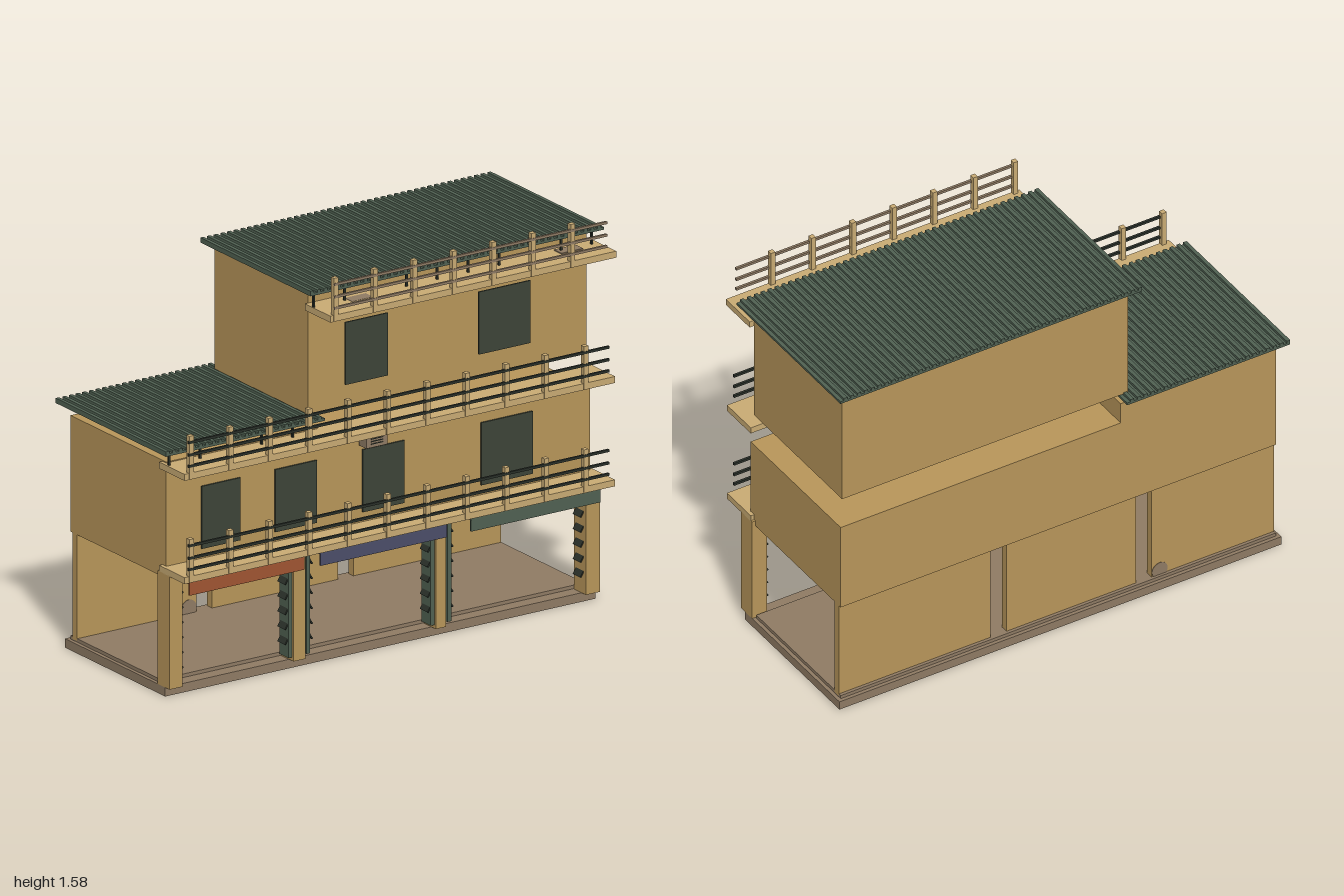
import * as THREE from 'three';

const mat = (name, color, side = THREE.FrontSide) => {
  const m = new THREE.MeshStandardMaterial({ color, side });
  m.name = name;
  return m;
};

export function createModel() {
  const tan = mat('tan plaster', 0xb8965a);
  const sand = mat('light wood', 0xc9ab74);
  const stone = mat('grey brown stone', 0x8f7b64);
  const green = mat('roof green', 0x506152, THREE.DoubleSide);
  const glass = mat('dark glass', 0x3d4438);
  const iron = mat('dark iron', 0x2a3029);
  const red = mat('awning red', 0xa05532, THREE.DoubleSide);
  const blue = mat('awning blue', 0x4b4e69, THREE.DoubleSide);

  const model = new THREE.Group();
  model.name = 'shopHouse';
  const group = (name) => {
    const g = new THREE.Group();
    g.name = name;
    model.add(g);
    return g;
  };
  // box given by its limits on each axis
  const box = (parent, name, m, x0, x1, y0, y1, z0, z1) => {
    const mesh = new THREE.Mesh(new THREE.BoxGeometry(x1 - x0, y1 - y0, z1 - z0), m);
    mesh.position.set((x0 + x1) / 2, (y0 + y1) / 2, (z0 + z1) / 2);
    mesh.name = name;
    parent.add(mesh);
    return mesh;
  };

  // base
  const base = group('base');
  box(base, 'slab', stone, -0.99, 0.975, 0, 0.036, -0.38, 0.29);
  box(base, 'floor', stone, -0.975, 0.96, 0.036, 0.05, -0.365, 0.235);

  // open ground floor: front piers and back wall panels
  const ground = group('groundFloor');
  for (const [a, b] of [[-0.99, -0.932], [-0.425, -0.37], [0.225, 0.272], [0.91, 0.975]])
    box(ground, 'pier', tan, a, b, 0.036, 0.49, 0.24, 0.32);
  for (const [a, b] of [[-0.975, -0.43], [-0.36, 0.215], [0.285, 0.96]])
    box(ground, 'backPanel', tan, a, b, 0.04, 0.47, -0.352, -0.32);
  const stain = new THREE.Mesh(new THREE.CylinderGeometry(0.035, 0.035, 0.036, 16), stone);
  stain.rotation.x = Math.PI / 2;
  stain.position.set(-0.466, 0.07, -0.336);
  stain.name = 'wallPatch';
  ground.add(stain);

  // folded shutters beside the piers
  const shutters = group('shutters');
  for (const [a, b] of [[-0.441, -0.425], [-0.358, -0.342], [0.208, 0.225], [0.285, 0.302]])
    box(shutters, 'shutterStrip', green, a, b, 0.05, 0.48, 0.25, 0.31);
  [-0.925, -0.445, -0.335, 0.206, 0.306, 0.903].forEach((x, i) => {
    for (let k = 0; k < 6; k++) {
      const y = 0.115 + k * 0.06;
      const slat = box(shutters, 'slat', iron, x - 0.014, x + 0.014, y - 0.003, y + 0.003, 0.255, 0.305);
      slat.rotation.z = i % 2 ? 1 : -1;
    }
  });

  // awnings: sloped sheet with a hanging front lip
  const awnings = group('awnings');
  for (const [a, b, m] of [[-0.96, -0.437, red], [-0.362, 0.215, blue], [0.325, 0.915, green]]) {
    const sheet = box(awnings, 'awningSheet', m, a, b, 0.474, 0.48, 0.3, 0.41);
    sheet.rotation.x = -0.05;
    box(awnings, 'awningLip', m, a, b, 0.432, 0.484, 0.402, 0.41);
  }

  // storeys
  const storeys = group('storeys');
  box(storeys, 'middleStorey', tan, -0.975, 0.96, 0.465, 0.84, -0.365, 0.275);
  box(storeys, 'middleStoreyRaised', tan, -0.975, -0.285, 0.84, 0.93, -0.365, 0.275);
  box(storeys, 'topStorey', tan, -0.31, 0.96, 0.98, 1.465, -0.375, 0.25);

  // windows
  const windows = group('windows');
  const panes = [
    [-0.82, -0.645, 0.555], [-0.485, -0.295, 0.555], [-0.085, 0.105, 0.555],
    [0.455, 0.69, 0.555], [-0.165, 0.03, 1.08], [0.445, 0.68, 1.08],
  ];
  for (const [a, b, y] of panes) box(windows, 'window', glass, a, b, y, y + 0.25, 0.28, 0.287);

  // balconies with posts and three rails
  const balcony = (y, x0, x1, firstPost, count, railEnd, railMat) => {
    const g = group('balcony');
    box(g, 'deck', sand, x0, x1, y, y + 0.026, 0.25, 0.42);
    for (let i = 0; i < count; i++) {
      const x = firstPost + i * 0.18;
      box(g, 'railPost', sand, x - 0.01, x + 0.01, y + 0.004, y + 0.175, 0.403, 0.424);
    }
    for (const h of [0.055, 0.1, 0.15])
      box(g, 'rail', railMat, x0 + 0.015, railEnd, y + h - 0.005, y + h + 0.005, 0.416, 0.426);
  };
  balcony(0.487, -0.99, 0.975, -0.96, 11, 0.945, iron);
  balcony(0.9, -0.99, 0.975, -0.96, 11, 0.945, iron);
  balcony(1.4, -0.325, 0.98, -0.3, 7, 0.935, stone);

  // corrugated roofs with square ridges and front struts
  const roof = (x0, x1, y, ribs) => {
    const g = group('roof');
    const step = (x1 - x0) / ribs;
    const s = new THREE.Shape();
    s.moveTo(x0, y);
    for (let i = 0; i < ribs; i++) {
      const a = x0 + i * step;
      s.lineTo(a, y + 0.02);
      s.lineTo(a + step / 2, y + 0.02);
      s.lineTo(a + step / 2, y + 0.01);
      s.lineTo(a + step, y + 0.01);
    }
    s.lineTo(x1, y);
    const geo = new THREE.ExtrudeGeometry(s, { depth: 0.737, bevelEnabled: false });
    geo.translate(0, 0, -0.427);
    const sheet = new THREE.Mesh(geo, green);
    sheet.name = 'corrugatedSheet';
    g.add(sheet);
    for (let x = x0 + 0.02; x < x1; x += 0.141)
      box(g, 'roofStrut', iron, x - 0.004, x + 0.004, y - 0.05, y, 0.297, 0.305);
  };
  roof(-1, -0.275, 0.966, 24);
  roof(-0.34, 1, 1.476, 44);

  // air conditioners
  const coolers = group('airConditioners');
  for (const [a, b, y] of [[-0.1, -0.005, 0.825], [-0.165, -0.07, 1.367], [0.79, 0.888, 1.37]]) {
    box(coolers, 'coolerBody', stone, a, b, y, y + 0.06, 0.282, 0.332);
    for (let i = 0; i < 4; i++)
      box(coolers, 'coolerGrille', iron, a + 0.02, b - 0.02, y + 0.013 + i * 0.01, y + 0.016 + i * 0.01, 0.331, 0.335);
  }

  return model;
}
